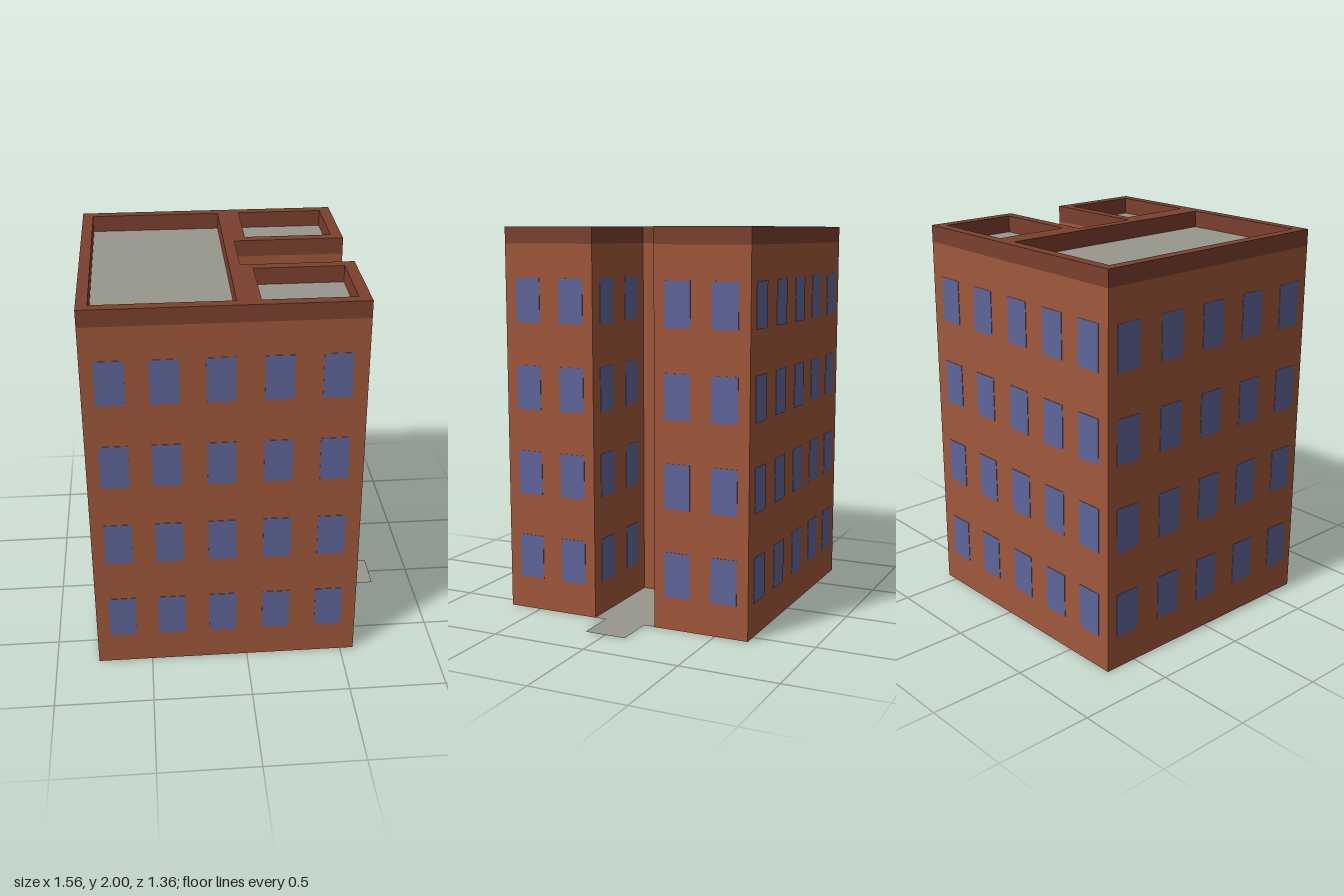
import * as THREE from 'three';

const material = (name, color) => {
  const m = new THREE.MeshStandardMaterial({ color, side: THREE.DoubleSide });
  m.name = name;
  return m;
};

export function createModel() {
  const group = new THREE.Group();
  const brick = material('brick', 0xa0583b);
  const coping = material('dark brick coping', 0x7b402d);
  const glass = material('window blue', 0x5f669a);
  const concrete = material('grey concrete', 0x97978c);

  const X0 = -0.78, X1 = 0.57, Z = 0.675, COURT_X = 0.005, COURT_Z = 0.17, EAVES = 1.915;

  function add(name, geometry, mat) {
    const mesh = new THREE.Mesh(geometry, mat);
    mesh.name = name;
    group.add(mesh);
    return mesh;
  }
  const outline = (pts) => pts.map(([x, z]) => new THREE.Vector2(x, -z));
  const rect = (x0, x1, z0, z1) => outline([[x0, z0], [x1, z0], [x1, z1], [x0, z1]]);

  // U-shaped plan with one hollow for the main block and one for each wing
  const rooms = [
    [-0.725, -0.05, -0.62, 0.62],
    [0.065, 0.512, -0.62, -0.225],
    [0.065, 0.512, 0.225, 0.62],
  ];
  const plan = new THREE.Shape(outline([
    [X0, Z], [X1, Z], [X1, COURT_Z], [COURT_X, COURT_Z],
    [COURT_X, -COURT_Z], [X1, -COURT_Z], [X1, -Z], [X0, -Z],
  ]));
  for (const r of rooms) plan.holes.push(new THREE.Path(rect(...r)));

  function storey(name, y, height, mat) {
    const geo = new THREE.ExtrudeGeometry(plan, { depth: height, bevelEnabled: false });
    geo.rotateX(-Math.PI / 2).translate(0, y, 0);
    add(name, geo, mat);
  }
  storey('walls', 0, EAVES, brick);
  storey('parapet', EAVES, 2 - EAVES, coping);

  // Flat roofs set down inside the parapets
  for (const r of rooms) {
    const geo = new THREE.ShapeGeometry(new THREE.Shape(rect(...r)));
    add('roof', geo.rotateX(-Math.PI / 2).translate(0, EAVES, 0), concrete);
  }

  // Courtyard paving with a narrower path leading out
  const paving = new THREE.Shape(outline([
    [COURT_X, COURT_Z], [X1, COURT_Z], [X1, 0.11], [0.78, 0.11],
    [0.78, -0.11], [X1, -0.11], [X1, -COURT_Z], [COURT_X, -COURT_Z],
  ]));
  add('courtyardPath', new THREE.ShapeGeometry(paving).rotateX(-Math.PI / 2).translate(0, 0.001, 0), concrete);

  // Windows: thin panes on every facade, four storeys high
  const alongX = new THREE.BoxGeometry(0.14, 0.228, 0.005);
  const alongZ = new THREE.BoxGeometry(0.005, 0.228, 0.138);
  const columns = [-0.645, -0.39, -0.125, 0.15, 0.425];
  for (const y of [0.285, 0.734, 1.181, 1.63]) {
    for (const side of [-1, 1]) {
      for (const x of columns) add('window', alongX, glass).position.set(x, y, side * Z);
      for (const x of columns.slice(3)) add('courtyardWindow', alongX, glass).position.set(x, y, side * COURT_Z);
      for (const z of [0.295, 0.545]) add('wingWindow', alongZ, glass).position.set(X1, y, side * z);
    }
    for (const z of [-0.55, -0.275, 0, 0.275, 0.55]) add('sideWindow', alongZ, glass).position.set(X0, y, z);
  }
  return group;
}
